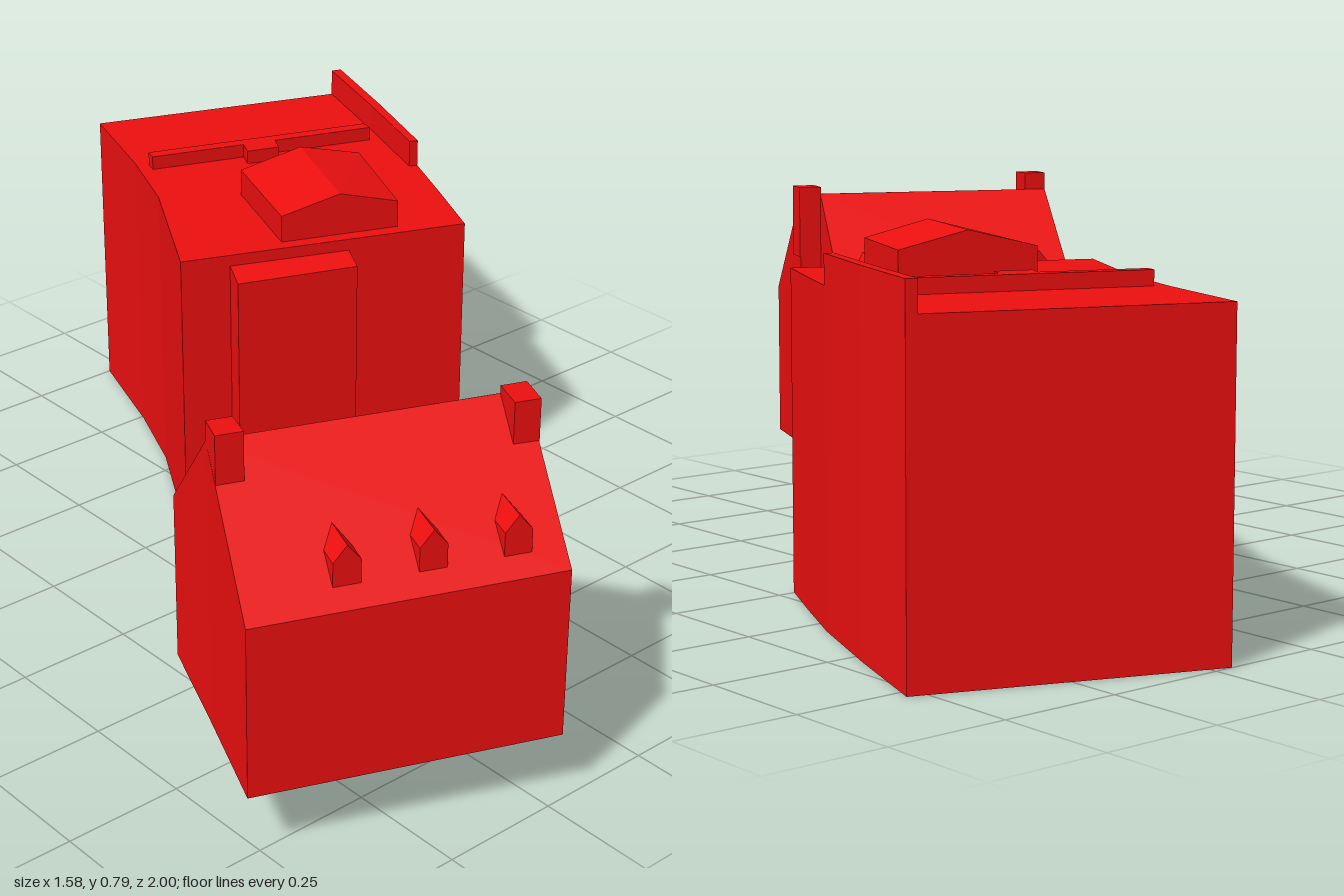
import * as THREE from 'three';
import { ConvexGeometry } from 'three/addons/geometries/ConvexGeometry.js';

const red = new THREE.MeshStandardMaterial({ color: 0xee0f0f, flatShading: true });

function addMesh(parent, name, geometry) {
  const mesh = new THREE.Mesh(geometry, red);
  mesh.name = name;
  parent.add(mesh);
  return mesh;
}

// Upright prism from a plan outline of [x, z] corners
function prism(plan, y0, y1) {
  const shape = new THREE.Shape(plan.map(([x, z]) => new THREE.Vector2(x, -z)));
  const g = new THREE.ExtrudeGeometry(shape, { depth: y1 - y0, bevelEnabled: false });
  return g.rotateX(-Math.PI / 2).translate(0, y0, 0);
}

// Convex block: corners are [x, z, topHeight], all reaching down to y0
function block(corners, y0) {
  const pts = corners.flatMap(([x, z, y]) => [
    new THREE.Vector3(x, y0, z), new THREE.Vector3(x, y, z)]);
  return new ConvexGeometry(pts);
}

function createHall() {
  const hall = new THREE.Group();
  hall.name = 'largeBuilding';

  // Main body with gently bent side walls
  addMesh(hall, 'hallBody', prism([
    [-0.14, -0.24], [0.46, 0.005], [0.535, -0.15], [0.61, -0.31], [0.70, -0.54],
    [0.787, -0.78], [0.21, -1.0], [0.12, -0.74], [0.04, -0.55]], 0, 0.667));

  // Projecting front bay with a slightly sloping top
  addMesh(hall, 'frontBay', block([
    [-0.065, -0.14, 0.628], [0.188, -0.043, 0.628],
    [0.212, -0.10, 0.642], [-0.038, -0.20, 0.642]], 0));

  // Thin parapet on the rear half of the right-hand edge
  addMesh(hall, 'sideParapet', prism([
    [0.61, -0.31], [0.70, -0.54], [0.787, -0.78],
    [0.765, -0.788], [0.68, -0.55], [0.592, -0.318]], 0.64, 0.728));

  // Low cross wall with a small stub
  addMesh(hall, 'roofWall', prism([
    [0.13, -0.687], [0.337, -0.61], [0.318, -0.572], [0.39, -0.545],
    [0.41, -0.583], [0.632, -0.50], [0.64, -0.528], [0.14, -0.715]], 0.64, 0.698));

  // Gabled rooflight
  const [a, b, c, d] = [[0.09, -0.18], [0.338, -0.08], [0.46, -0.345], [0.19, -0.44]];
  const mid = (p, q) => [(p[0] + q[0]) / 2, (p[1] + q[1]) / 2, 0.762];
  addMesh(hall, 'rooflight', block([
    [...a, 0.727], mid(a, b), [...b, 0.727],
    [...c, 0.727], mid(c, d), [...d, 0.727]], 0.65));
  return hall;
}

// Five-sided dormer; its face is at the group origin and looks along local +z
function createDormer(x, z, turn) {
  const w = 0.027;
  const shape = new THREE.Shape([[-w, 0], [w, 0], [w, 0.05], [0, 0.083], [-w, 0.05]]
    .map(p => new THREE.Vector2(...p)));
  const g = new THREE.ExtrudeGeometry(shape, { depth: 0.09, bevelEnabled: false });
  g.translate(0, 0, -0.09);
  const dormer = new THREE.Mesh(g, red);
  dormer.name = 'dormer';
  dormer.position.set(x, 0.536, z);
  dormer.rotation.y = turn;
  return dormer;
}

function createHouse() {
  const house = new THREE.Group();
  house.name = 'gabledHouse';
  const base = 0.145, eave = 0.505, ridge = 0.75;

  // Two half-houses meeting at the ridge, the front one slightly longer
  addMesh(house, 'houseFrontHalf', block([
    [-0.79, 0.765, eave], [-0.215, 0.995, eave],
    [-0.117, 0.765, ridge], [-0.69, 0.536, ridge]], base));
  addMesh(house, 'houseBackHalf', block([
    [-0.595, 0.312, eave], [-0.065, 0.526, eave],
    [-0.163, 0.747, ridge], [-0.69, 0.536, ridge]], base));

  // Chimneys at both ends of the ridge
  addMesh(house, 'leftChimney', prism([
    [-0.714, 0.592], [-0.664, 0.612], [-0.643, 0.555], [-0.69, 0.536]], 0.6, 0.79));
  addMesh(house, 'rightChimney', prism([
    [-0.192, 0.812], [-0.144, 0.832], [-0.115, 0.765], [-0.164, 0.746]], 0.6, 0.766));

  // Dormers: three on the front slope, four on the back
  const turn = -0.383;
  for (const x of [-0.593, -0.441, -0.289]) {
    house.add(createDormer(x, 0.93 + 0.4 * (x + 0.289), turn));
  }
  for (const x of [-0.53, -0.41, -0.295, -0.148]) {
    house.add(createDormer(x, 0.372 + 0.405 * (x + 0.53), turn + Math.PI));
  }
  return house;
}

export function createModel() {
  const model = new THREE.Group();
  model.name = 'buildings';
  model.add(createHall(), createHouse());
  return model;
}
